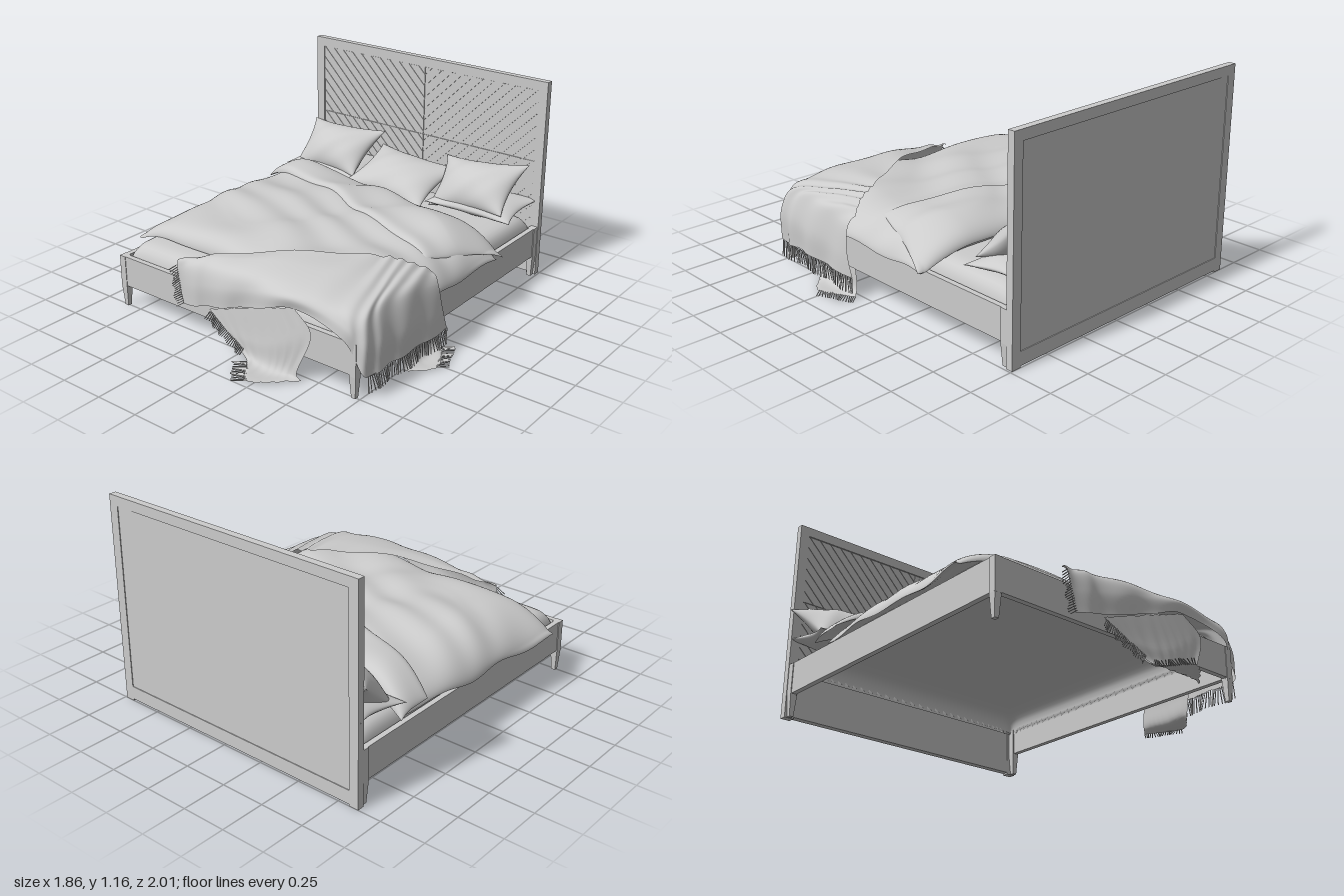
import * as THREE from 'three';
import { mergeGeometries, mergeVertices } from 'three/addons/utils/BufferGeometryUtils.js';
import { ParametricGeometry } from 'three/addons/geometries/ParametricGeometry.js';

const CX = -0.065; // middle of the bed frame
const solid = new THREE.MeshStandardMaterial({ color: 0xcccccc });
const cloth = new THREE.MeshStandardMaterial({ color: 0xcccccc, side: THREE.DoubleSide });
const V = (p) => new THREE.Vector3(...p);
const clamp01 = (t) => Math.min(1, Math.max(0, t));
const ease = (t) => 0.5 - 0.5 * Math.cos(Math.PI * t);
const wrinkle = (x, z) =>
  0.011 * Math.sin(6 * x + 9 * z + 2 * Math.sin(4 * x)) + 0.007 * Math.sin(17 * z - 9 * x + 2 * Math.sin(5 * z))
  + 0.008 * (0.5 - Math.abs(Math.sin(5 * z + 2.5 * x + Math.sin(6 * x))));

function add(parent, name, geometry, material = solid) {
  const mesh = new THREE.Mesh(geometry, material);
  mesh.name = name;
  parent.add(mesh);
  return mesh;
}

// Box given by its limits
function box(parent, name, x0, x1, y0, y1, z0, z1) {
  const mesh = add(parent, name, new THREE.BoxGeometry(x1 - x0, y1 - y0, z1 - z0));
  mesh.position.set((x0 + x1) / 2, (y0 + y1) / 2, (z0 + z1) / 2);
}

function smooth(g) {
  g.deleteAttribute('uv');
  g.deleteAttribute('normal');
  const m = mergeVertices(g, 1e-5);
  m.computeVertexNormals();
  return m;
}

// Closed soft slab: f(a, b, side, target), a to the right, b to the front
function slab(f, nu, nv) {
  return smooth(mergeGeometries([
    new ParametricGeometry((u, v, t) => f(ease(u), ease(1 - v), 1, t), nu, nv),
    new ParametricGeometry((u, v, t) => f(ease(u), ease(v), -1, t), nu, nv),
  ]));
}

// Rounded edge profile: 0 on the rim, 1 in the middle
const rim = (a, b, p) =>
  Math.sqrt(Math.max(0, (1 - Math.abs(2 * a - 1) ** p) * (1 - Math.abs(2 * b - 1) ** p)));

// Cloth lofted through columns of points running from the inner edge to the hem
function drape(cols, nu, nv, ripple) {
  const rows = cols[0].map((_, j) => new THREE.CatmullRomCurve3(cols.map((c) => V(c[j]))));
  return smooth(new ParametricGeometry((u, w, t) => {
    const v = 1 - w;
    t.copy(new THREE.CatmullRomCurve3(rows.map((r) => r.getPoint(u))).getPoint(v));
    const s = ripple * Math.sin(48 * u + 5 * v + 2 * Math.sin(9 * u));
    t.x += s * v;
    t.z += s * v;
    t.y += s * 0.8 * (1 - v);
  }, nu, nv));
}

// Row of thin strands along a line
function fringe(parent, from, to, dir, count) {
  const a = V(from), b = V(to), parts = [];
  for (let i = 0; i < count; i++) {
    const d = V(dir), len = d.length();
    d.x += Math.sin(i * 12.9) * 0.15 * len;
    d.z += Math.cos(i * 7.3) * 0.15 * len;
    const g = new THREE.BoxGeometry(0.004, len, 0.004);
    g.applyQuaternion(new THREE.Quaternion().setFromUnitVectors(new THREE.Vector3(0, 1, 0), d.clone().normalize()));
    const p = a.clone().lerp(b, i / (count - 1)).addScaledVector(d, 0.5);
    parts.push(g.translate(p.x, p.y, p.z));
  }
  add(parent, 'throwFringe', mergeGeometries(parts));
}

// Keeps the part of a polygon where side(p) >= 0
function clip(poly, side) {
  const out = [];
  poly.forEach((p, i) => {
    const q = poly[(i + 1) % poly.length], a = side(p), b = side(q);
    if (a >= 0) out.push(p);
    if (a * b < 0) out.push(p.clone().lerp(q, a / (a - b)));
  });
  return out;
}

// Diagonal planks filling one half of the panel (dir -1 left, 1 right)
function planks(dir, y0, y1) {
  const w = 0.75, pitch = 0.07, gap = 0.004, parts = [];
  for (let c = y0 - w; c < y1; c += pitch) {
    let poly = [[0, c], [w, c + w], [w, c + w + pitch - gap], [0, c + pitch - gap]].map((p) => new THREE.Vector2(...p));
    poly = clip(clip(poly, (p) => p.y - y0 - 0.002), (p) => y1 - 0.002 - p.y);
    if (poly.length < 3) continue;
    const shape = new THREE.Shape(poly.map((p) => new THREE.Vector2(CX + dir * (p.x * 0.995 + 0.002), p.y)));
    parts.push(new THREE.ExtrudeGeometry(shape, { depth: 0.005, bevelEnabled: false }));
  }
  return mergeGeometries(parts).translate(0, 0, -0.97);
}

function buildHeadboard(bed) {
  const g = new THREE.Group();
  g.name = 'headboard';
  bed.add(g);
  for (const s of [-1, 1]) {
    box(g, 'headboardStile', CX + s * 0.7775 - 0.0275, CX + s * 0.7775 + 0.0275, 0, 1.16, -1, -0.96);
    for (const [y0, y1] of [[0.28, 0.69], [0.69, 1.105]]) add(g, 'chevronPlanks', planks(s, y0, y1));
  }
  box(g, 'headboardTopRail', CX - 0.75, CX + 0.75, 1.105, 1.16, -1, -0.96);
  box(g, 'headboardBottomRail', CX - 0.75, CX + 0.75, 0.01, 0.085, -1, -0.96);
  box(g, 'headboardPanel', CX - 0.75, CX + 0.75, 0.085, 1.105, -0.996, -0.97);
  box(g, 'headboardLowerPanel', CX - 0.75, CX + 0.75, 0.085, 0.28, -0.97, -0.965);
}

function buildFrame(bed) {
  const g = new THREE.Group();
  g.name = 'bedFrame';
  bed.add(g);
  for (const s of [-1, 1]) {
    box(g, 'sideRail', CX + s * 0.783 - 0.015, CX + s * 0.783 + 0.015, 0.125, 0.3, -0.96, 0.75);
    for (const z of [0.748, -0.94]) {
      const x = CX + s * 0.782;
      box(g, 'cornerPost', x - 0.02, x + 0.02, 0.12, 0.3, z - 0.02, z + 0.02);
      const leg = new THREE.CylinderGeometry(0.028, 0.017, 0.12, 4).rotateY(Math.PI / 4).toNonIndexed();
      leg.computeVertexNormals();
      add(g, 'taperedLeg', leg).position.set(x, 0.06, z);
    }
  }
  box(g, 'frontRail', CX - 0.78, CX + 0.78, 0.125, 0.3, 0.735, 0.765);
}

// Cushion with pinched corners, leaning back by tilt; taper narrows its front edge
function pillow(parent, name, w, d, h, pos, tilt, yaw, roll, taper) {
  const f = (a, b, side, t) => {
    const u = 2 * a - 1, v = 2 * b - 1;
    const e = Math.pow(rim(a, b, 2), 1.15);
    t.set(u * w / 2 * (1 - 0.13 * (1 - v * v)) * (1 - taper * b), side * h / 2 * e, v * d / 2 * (1 - 0.15 * (1 - u * u)));
    t.y += 0.004 * e * Math.sin(9 * u + 5 * v);
  };
  const mesh = add(parent, name, slab(f, 28, 20), cloth);
  mesh.position.set(...pos);
  mesh.rotation.set(tilt, yaw, roll);
}

// Quilt over four top-view corners (back left, back right, front right, front left)
function quilt(corners, base, thick, drop, backDrop) {
  const [A, B, C, D] = corners.map((p) => new THREE.Vector2(...p));
  return slab((a, b, side, t) => {
    const p = A.clone().lerp(B, a).lerp(D.clone().lerp(C, a), b);
    const over = clamp01((Math.abs(p.x - CX) - 0.55) / 0.28);
    const e = rim(a, b, 8);
    const hump = 0.025 * Math.exp(-8 * ((p.x + 0.35) ** 2 + (p.y - 0.05) ** 2));
    const y = base - drop * over * over - backDrop * (1 - b) ** 4 + 0.012 * (1 - e) * Math.sin(14 * p.y) * over;
    t.set(p.x + 0.01 * Math.sin(9 * p.y), y + e * (side > 0 ? thick + hump + wrinkle(p.x, p.y) : 0.004), p.y + 0.01 * Math.sin(8 * p.x));
  }, 80, 70);
}

function buildBedding(bed) {
  const g = new THREE.Group();
  g.name = 'bedding';
  bed.add(g);
  // Sheet over the mattress, hollow below
  add(g, 'fittedSheet', slab((a, b, side, t) => {
    t.set(CX + (a - 0.5) * 1.53, 0.25 + rim(a, b, 24) * (side > 0 ? 0.13 : 0.115), -0.95 + 1.685 * b);
  }, 40, 40), cloth);

  pillow(g, 'lowerPillowRight', 0.55, 0.34, 0.12, [-0.6, 0.435, -0.82], 0.12, 0, 0, 0);
  pillow(g, 'lowerPillowLeft', 0.56, 0.34, 0.12, [0.44, 0.435, -0.82], 0.12, 0, 0, 0);
  pillow(g, 'upperPillowRight', 0.57, 0.35, 0.2, [-0.605, 0.53, -0.82], 0.7, 0, 0.08, 0.18);
  pillow(g, 'upperPillowLeft', 0.56, 0.35, 0.2, [0.405, 0.525, -0.81], 0.7, 0.05, 0.11, 0.12);
  pillow(g, 'middlePillow', 0.58, 0.39, 0.17, [-0.09, 0.48, -0.77], 0.38, -0.08, 0, 0);

  add(g, 'duvet', quilt([[-0.85, -0.62], [0.78, -0.42], [0.74, 0.65], [-0.92, 0.57]], 0.385, 0.1, 0.08, 0), cloth);
  add(g, 'duvetFold', quilt([[-0.88, -0.69], [0.81, -0.44], [0.63, 0.05], [-0.89, -0.49]], 0.46, 0.05, 0.085, 0.05), cloth);
}

function buildThrow(bed) {
  const g = new THREE.Group();
  g.name = 'throwBlanket';
  bed.add(g);
  // Columns: inner edge, rim of the bed, middle of the hanging part, hem
  const cols = [
    [[-0.44, 0.39, 0.74], [-0.43, 0.36, 0.765], [-0.41, 0.27, 0.775], [-0.38, 0.16, 0.78]],
    [[-0.25, 0.44, 0.65], [-0.23, 0.41, 0.75], [-0.2, 0.32, 0.78], [-0.16, 0.215, 0.78]],
    [[0.1, 0.505, 0.5], [0.1, 0.45, 0.75], [0.1, 0.39, 0.785], [0.1, 0.295, 0.785]],
    [[0.36, 0.515, 0.35], [0.4, 0.46, 0.74], [0.37, 0.43, 0.785], [0.35, 0.375, 0.785]],
    [[0.5, 0.51, 0.27], [0.62, 0.44, 0.74], [0.67, 0.38, 0.775], [0.67, 0.31, 0.78]],
    [[0.57, 0.505, 0.23], [0.73, 0.42, 0.71], [0.77, 0.3, 0.745], [0.775, 0.13, 0.74]],
    [[0.64, 0.49, 0.2], [0.745, 0.42, 0.58], [0.79, 0.28, 0.6], [0.795, 0.13, 0.58]],
    [[0.7, 0.465, 0.16], [0.765, 0.41, 0.34], [0.8, 0.26, 0.34], [0.805, 0.125, 0.33]],
    [[0.74, 0.44, 0.13], [0.78, 0.38, 0.14], [0.8, 0.25, 0.125], [0.81, 0.12, 0.09]],
  ];
  // Add a raised point between inner edge and rim
  cols.forEach((c) => c.splice(1, 0, c[0].map((n, i) => (n + c[1][i]) / 2 + (i === 1 ? 0.016 : 0))));
  add(g, 'throwTop', drape(cols, 110, 36, 0.007), cloth);

  // Corner hanging down to the floor at the front
  add(g, 'throwFrontCorner', drape([
    [[-0.2, 0.19, 0.775], [-0.08, 0.11, 0.785], [0.04, 0.03, 0.8], [0.1, 0.008, 0.82]],
    [[0.12, 0.3, 0.775], [0.18, 0.13, 0.795], [0.21, 0.015, 0.82], [0.22, 0.008, 0.96]],
    [[0.37, 0.38, 0.775], [0.48, 0.28, 0.785], [0.4, 0.03, 0.8], [0.43, 0.008, 0.8]],
  ], 30, 24, 0.004), cloth);
  // Corner reaching the floor at the side
  add(g, 'throwSideCorner', drape([
    [[0.76, 0.15, 0.45], [0.77, 0.04, 0.42], [0.78, 0.008, 0.41]],
    [[0.76, 0.15, 0.25], [0.78, 0.02, 0.27], [0.88, 0.008, 0.29]],
    [[0.76, 0.15, 0.12], [0.77, 0.04, 0.1], [0.79, 0.008, 0.09]],
  ], 20, 16, 0.002), cloth);

  fringe(g, [0.785, 0.13, 0.73], [0.81, 0.125, 0.09], [0.005, -0.09, -0.01], 50);
  fringe(g, [-0.43, 0.37, 0.77], [-0.38, 0.17, 0.78], [-0.045, -0.035, 0.005], 18);
  fringe(g, [-0.19, 0.18, 0.78], [0.05, 0.055, 0.8], [-0.03, -0.045, 0.005], 28);
  fringe(g, [0.1, 0.008, 0.82], [0.22, 0.008, 0.96], [-0.07, 0, 0.04], 20);
  fringe(g, [0.79, 0.008, 0.09], [0.88, 0.008, 0.28], [0.045, 0, -0.045], 20);
}

export function createModel() {
  const bed = new THREE.Group();
  bed.name = 'bed';
  buildHeadboard(bed);
  buildFrame(bed);
  buildBedding(bed);
  buildThrow(bed);
  return bed;
}
